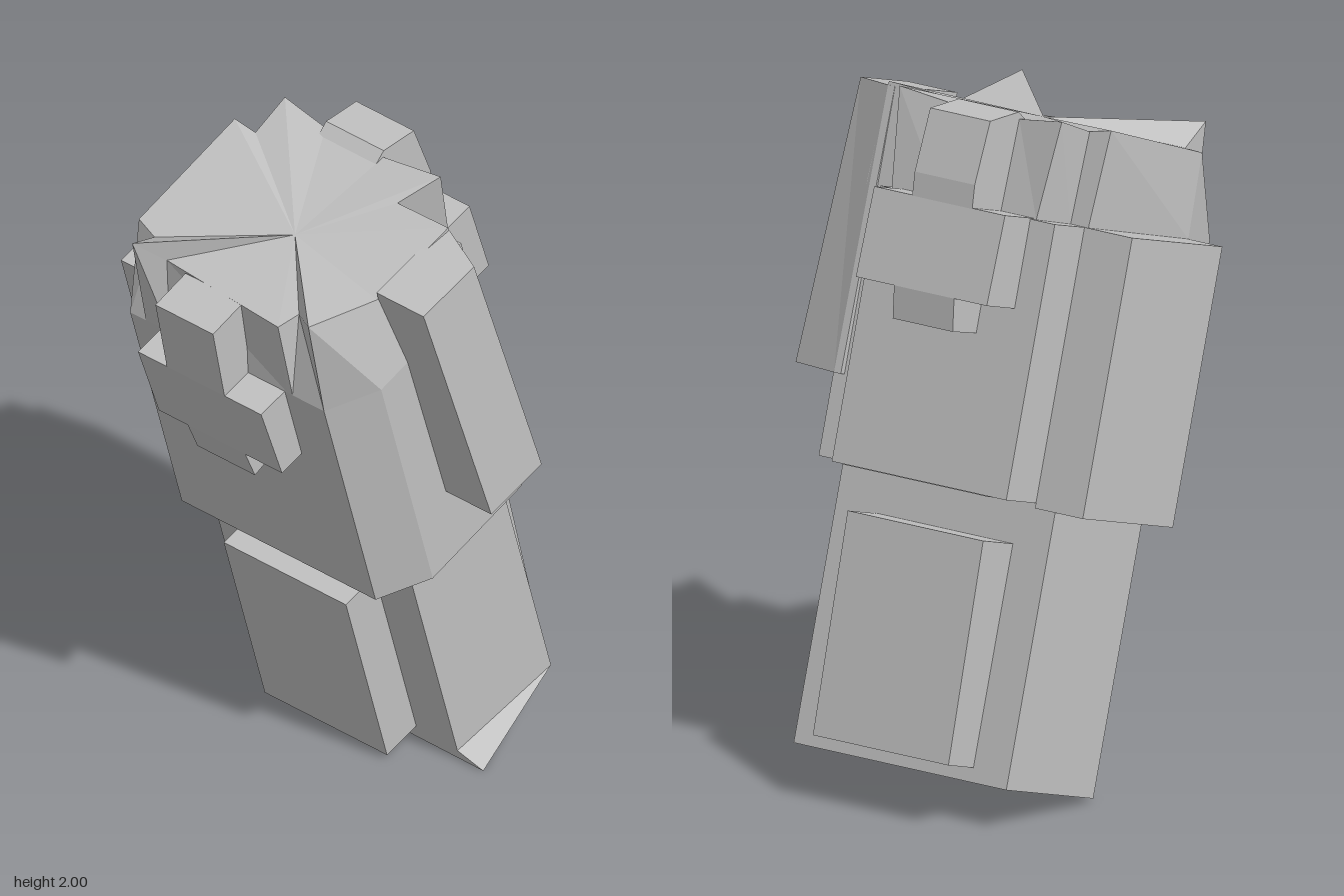
import * as THREE from 'three';

const grey = new THREE.MeshStandardMaterial({ color: 0xc0c0c0, flatShading: true, side: THREE.DoubleSide });
grey.name = 'plain grey';

// All parts are built upright, then the whole tower is leaned over.
export function createModel() {
  const model = new THREE.Group();
  const tower = new THREE.Group();
  tower.name = 'leaningTower';
  tower.rotation.z = 0.279;
  model.add(tower);

  const add = (name, geometry) => {
    const mesh = new THREE.Mesh(geometry, grey);
    mesh.name = name;
    tower.add(mesh);
  };

  const box = (name, [x0, x1], [y0, y1], [z0, z1]) =>
    add(name, new THREE.BoxGeometry(x1 - x0, y1 - y0, z1 - z0)
      .translate((x0 + x1) / 2, (y0 + y1) / 2, (z0 + z1) / 2));

  // Side outline in x, y pulled along z
  const slab = (name, outline, z0, z1) => {
    const shape = new THREE.Shape(outline.map(p => new THREE.Vector2(...p)));
    add(name, new THREE.ExtrudeGeometry(shape, { depth: z1 - z0, bevelEnabled: false }).translate(0, 0, z0));
  };

  // Walls between two rings, with fans closing both ends
  const loft = (name, lower, upper, bottom, top) => {
    const pos = [];
    lower.forEach((a, i) => {
      const j = (i + 1) % lower.length;
      const b = lower[j], c = upper[j], d = upper[i];
      pos.push(...a, ...b, ...d, ...b, ...c, ...d, ...top, ...d, ...c, ...bottom, ...b, ...a);
    });
    const geometry = new THREE.BufferGeometry();
    geometry.setAttribute('position', new THREE.Float32BufferAttribute(pos, 3));
    geometry.computeVertexNormals();
    add(name, geometry);
  };

  // Lower section with a panel on each side
  box('lowerBody', [0.12, 0.53], [-0.02, 0.82], [-0.47, 0.31]);
  slab('lowerLeftPanel', [[0.5, 0.022], [0.648, 0.022], [0.67, 0.672], [0.5, 0.672]], -0.34, 0.157);
  box('lowerRightPanel', [-0.01, 0.15], [0.023, 0.663], [-0.31, 0.157]);

  // Flared corner under the base
  const flare = [[0.12, -0.03, 0.4], [0.53, -0.02, 0.31], [0.12, -0.02, -0.47], [0.12, 0.005, 0.31]];
  const flareGeometry = new THREE.BufferGeometry();
  flareGeometry.setAttribute('position', new THREE.Float32BufferAttribute(flare.flat(), 3));
  flareGeometry.setIndex([0, 2, 1, 0, 1, 3, 0, 3, 2]);
  flareGeometry.computeVertexNormals();
  add('baseFlare', flareGeometry);

  // Upper section: x, z of the body outline and x, y, z of the jagged rim above it
  const outline = [
    [-0.03, 0.32, -0.02, 1.96, 0.34], [0.12, 0.41, 0.23, 1.85, 0.36],
    [0.53, 0.4, 0.53, 1.886, 0.385], [0.53, 0.19, 0.53, 1.88, 0.19],
    [0.66, 0.21, 0.667, 1.89, 0.24], [0.66, 0.03, 0.65, 1.87, 0.03],
    [0.66, -0.19, 0.65, 1.87, -0.19], [0.66, -0.32, 0.667, 1.89, -0.355],
    [0.53, -0.345, 0.53, 1.87, -0.355], [0.53, -0.41, 0.53, 1.886, -0.43],
    [0.11, -0.45, 0.11, 1.85, -0.445], [-0.03, -0.42, 0.08, 1.85, -0.36],
    [-0.03, -0.36, -0.02, 1.93, -0.34], [-0.03, -0.27, 0.03, 1.85, -0.27],
    [-0.03, 0.18, 0, 1.85, 0.18], [-0.03, 0.2, 0.07, 1.85, 0.2],
  ];
  const bodyRing = y => outline.map(p => [p[0], y, p[1]]);
  loft('upperBody', bodyRing(0.797), bodyRing(1.6), [0.29, 0.797, 0], [0.29, 1.6, 0]);
  loft('crown', bodyRing(1.6), outline.map(p => p.slice(2)), [0.29, 1.6, 0], [0.29, 1.865, 0]);
  box('upperLeftPanel', [0.4, 0.675], [0.8, 1.6], [-0.4, 0.24]);
  box('backPlate', [0.11, 0.535], [0.785, 1.6], [-0.575, -0.4]);

  // Front plate with one sloping side
  const plate = [[0.24, 0.36], [0.24, 0.55], [0.465, 0.55], [0.535, 0.385], [0.535, 0.36]];
  const ring = (y, lean) => plate.map(([x, z]) => [x + lean * 0.4, y, z > 0.5 ? z + lean : z]);
  loft('frontPlate', ring(1.04, 0.03), ring(1.875, -0.01), [0.38, 1.04, 0.45], [0.38, 1.875, 0.45]);

  // Cross-shaped fittings on both sides, bar and upright flush
  slab('leftFittingUpright', [[0.58, 1.25], [0.785, 1.245], [0.806, 1.34], [0.795, 1.6], [0.803, 1.67], [0.783, 1.856], [0.658, 1.89], [0.58, 1.85]], -0.19, 0.03);
  slab('leftFittingBar', [[0.56, 1.34], [0.806, 1.34], [0.795, 1.603], [0.56, 1.603]], -0.31, 0.17);
  slab('rightFittingUpright', [[0.02, 1.25], [0.02, 1.85], [-0.116, 1.845], [-0.135, 1.6], [-0.118, 1.335], [-0.104, 1.233]], -0.19, 0.03);
  slab('rightFittingBar', [[0.02, 1.335], [0.02, 1.6], [-0.135, 1.6], [-0.118, 1.335]], -0.3, 0.17);

  return model;
}
